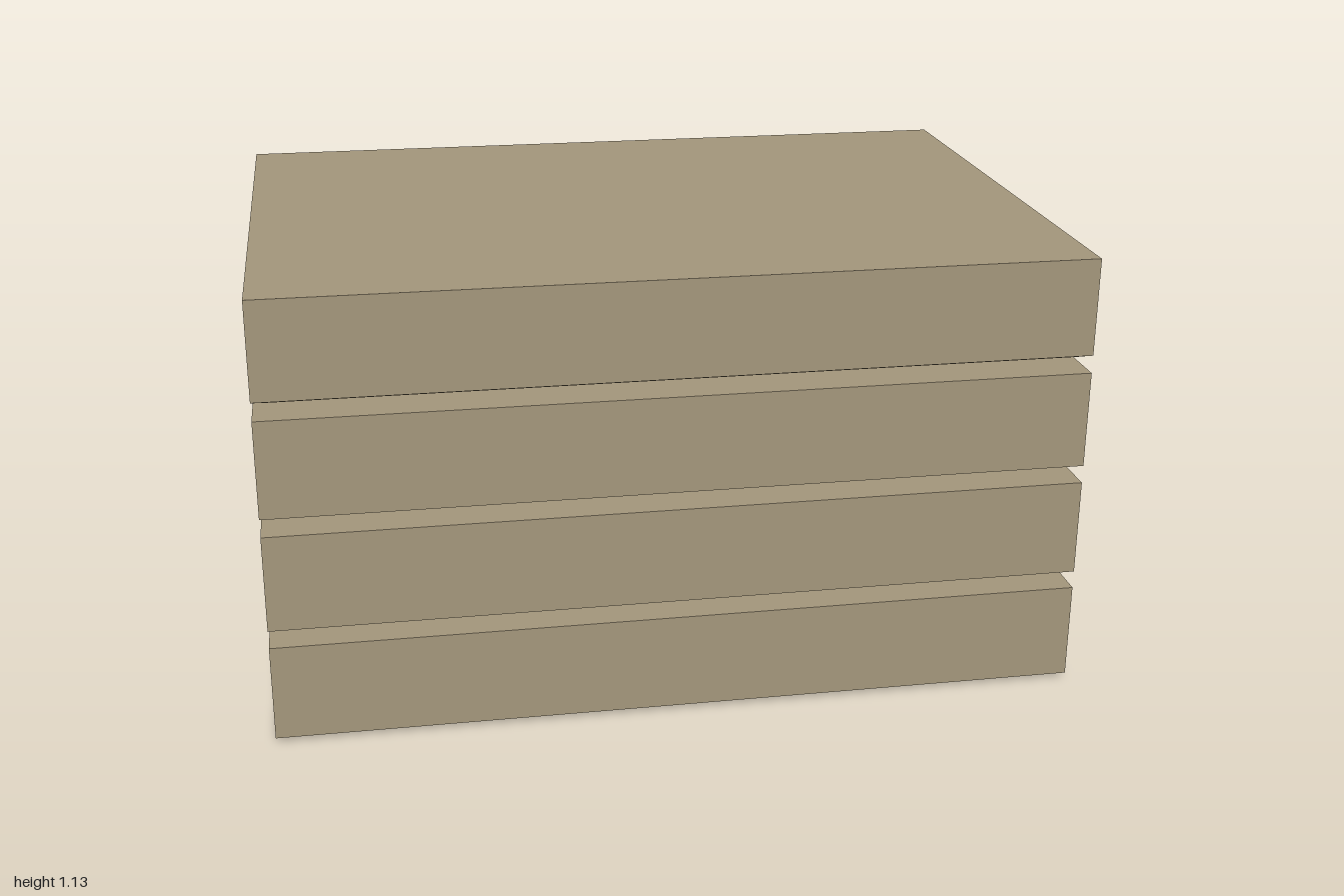
import * as THREE from 'three';

const HALF_X = 1, HALF_Z = 0.695, INSET = 0.03, PITCH = 0.288, COUNT = 4;

// One slab as stacked four-corner rings: [inset, front height, back height]
function slabGeometry() {
  const rings = [
    [INSET, 0, 0],
    [0, 0.012, 0.003],
    [0, 0.255, 0.263],
  ];
  const points = [];
  for (const [inset, front, back] of rings) {
    const x = HALF_X - inset, z = HALF_Z - inset;
    points.push(-x, front, z, x, front, z, x, back, -z, -x, back, -z);
  }
  const faces = [0, 2, 1, 0, 3, 2]; // underside
  for (let r = 0; r < rings.length - 1; r++) {
    for (let i = 0; i < 4; i++) {
      const a = r * 4 + i, b = r * 4 + (i + 1) % 4;
      faces.push(a, b, b + 4, a, b + 4, a + 4);
    }
  }
  faces.push(8, 9, 10, 8, 10, 11); // top
  const indexed = new THREE.BufferGeometry();
  indexed.setAttribute('position', new THREE.Float32BufferAttribute(points, 3));
  indexed.setIndex(faces);
  const geometry = indexed.toNonIndexed();
  geometry.computeVertexNormals();
  return geometry;
}

export function createModel() {
  const group = new THREE.Group();
  group.name = 'slabStack';
  const material = new THREE.MeshStandardMaterial({ color: 0xa3967b });
  material.name = 'tan stone';

  // Four equal slabs with narrow gaps between them
  const geometry = slabGeometry();
  for (let i = 0; i < COUNT; i++) {
    const slab = new THREE.Mesh(geometry, material);
    slab.name = `slab${i + 1}`;
    slab.position.y = i * PITCH;
    group.add(slab);
  }
  return group;
}
